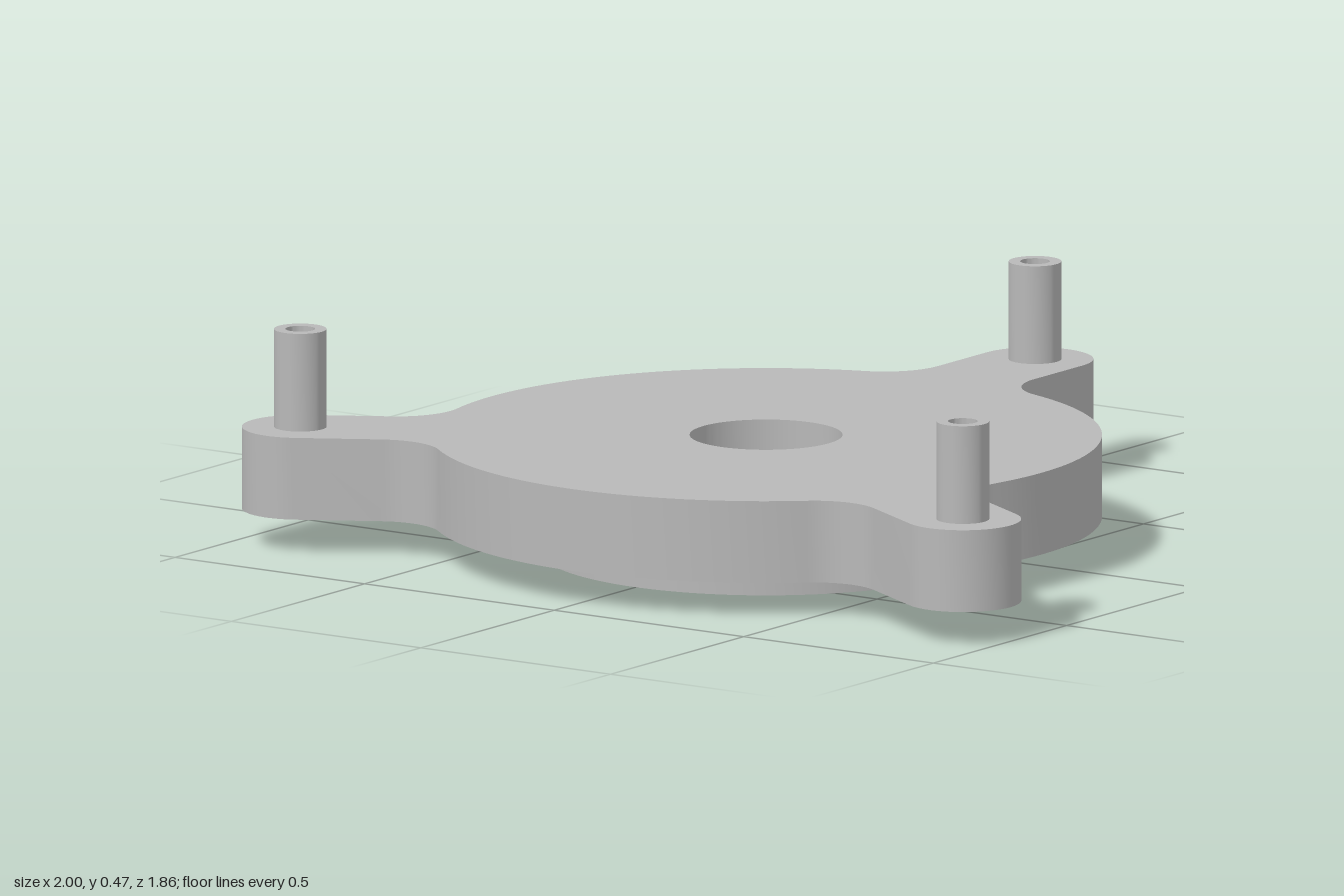
import * as THREE from 'three';
import { toCreasedNormals } from 'three/addons/utils/BufferGeometryUtils.js';

const BODY_R = 0.725, ARM_R = 0.126, ARM_D = 1.009, FILLET = 0.14;
const BORE_R = 0.165, BOSS_R = 0.489, CENTRE_Z = 0.205;
const BOSS_TOP = 0.075, PLATE_TOP = 0.255, PIN_TOP = 0.47;
const HALF = Math.PI / 2;
const armAngles = [0, 1, 2].map((k) => HALF + (k * 2 * Math.PI) / 3);

// Adds points along an arc, skipping points that repeat the previous one
function addArc(points, cx, cy, r, from, to, steps) {
  for (let i = 0; i <= steps; i++) {
    const t = from + ((to - from) * i) / steps;
    const p = new THREE.Vector2(cx + r * Math.cos(t), cy + r * Math.sin(t));
    const last = points[points.length - 1];
    if (!last || last.distanceTo(p) > 1e-5) points.push(p);
  }
}

// Round body with three rounded arms, blended by fillets
function plateOutline() {
  const points = [];
  const side = ARM_R + FILLET;
  const reach = Math.sqrt((BODY_R + FILLET) ** 2 - side ** 2);
  const b = Math.atan2(side, reach);
  for (const a of armAngles) {
    const c = Math.cos(a), s = Math.sin(a);
    addArc(points, reach * c + side * s, reach * s - side * c, FILLET, a - b + Math.PI, a + HALF, 14);
    addArc(points, ARM_D * c, ARM_D * s, ARM_R, a - HALF, a + HALF, 28);
    addArc(points, reach * c - side * s, reach * s + side * c, FILLET, a - HALF, a + b - Math.PI, 14);
    addArc(points, 0, 0, BODY_R, a + b, a + (2 * Math.PI) / 3 - b, 32);
  }
  if (points[0].distanceTo(points[points.length - 1]) < 1e-5) points.pop();
  return new THREE.Shape(points);
}

// Upright slab with the central bore
function boredSlab(shape, bottom, top) {
  shape.holes.push(new THREE.Path().absarc(0, 0, BORE_R, 0, Math.PI * 2, true));
  const geometry = new THREE.ExtrudeGeometry(shape, { depth: top - bottom, bevelEnabled: false, curveSegments: 72 });
  geometry.rotateX(-HALF).translate(0, bottom, 0);
  return toCreasedNormals(geometry, 0.6);
}

export function createModel() {
  const group = new THREE.Group();
  group.name = 'threeArmFlange';
  const grey = new THREE.MeshStandardMaterial({ color: 0xb8b8b8 });
  grey.name = 'grey';

  const add = (name, geometry, x = 0, z = 0) => {
    const mesh = new THREE.Mesh(geometry, grey);
    mesh.name = name;
    mesh.position.set(x, 0, z + CENTRE_Z);
    group.add(mesh);
  };

  add('armedPlate', boredSlab(plateOutline(), BOSS_TOP, PLATE_TOP));
  const bossShape = new THREE.Shape().absarc(0, 0, BOSS_R, 0, Math.PI * 2, false);
  add('lowerBoss', boredSlab(bossShape, 0, BOSS_TOP));

  // Pins with a blind hole in the top
  const profile = [[0.057, PLATE_TOP], [0.057, PIN_TOP], [0.032, PIN_TOP], [0.032, PLATE_TOP + 0.02], [0, PLATE_TOP + 0.02]]
    .map(([r, y]) => new THREE.Vector2(r, y));
  const pin = toCreasedNormals(new THREE.LatheGeometry(profile, 40), 0.6);
  armAngles.forEach((a, i) => {
    add(['backPin', 'rightPin', 'leftPin'][i], pin, ARM_D * Math.cos(a), -ARM_D * Math.sin(a));
  });
  return group;
}
